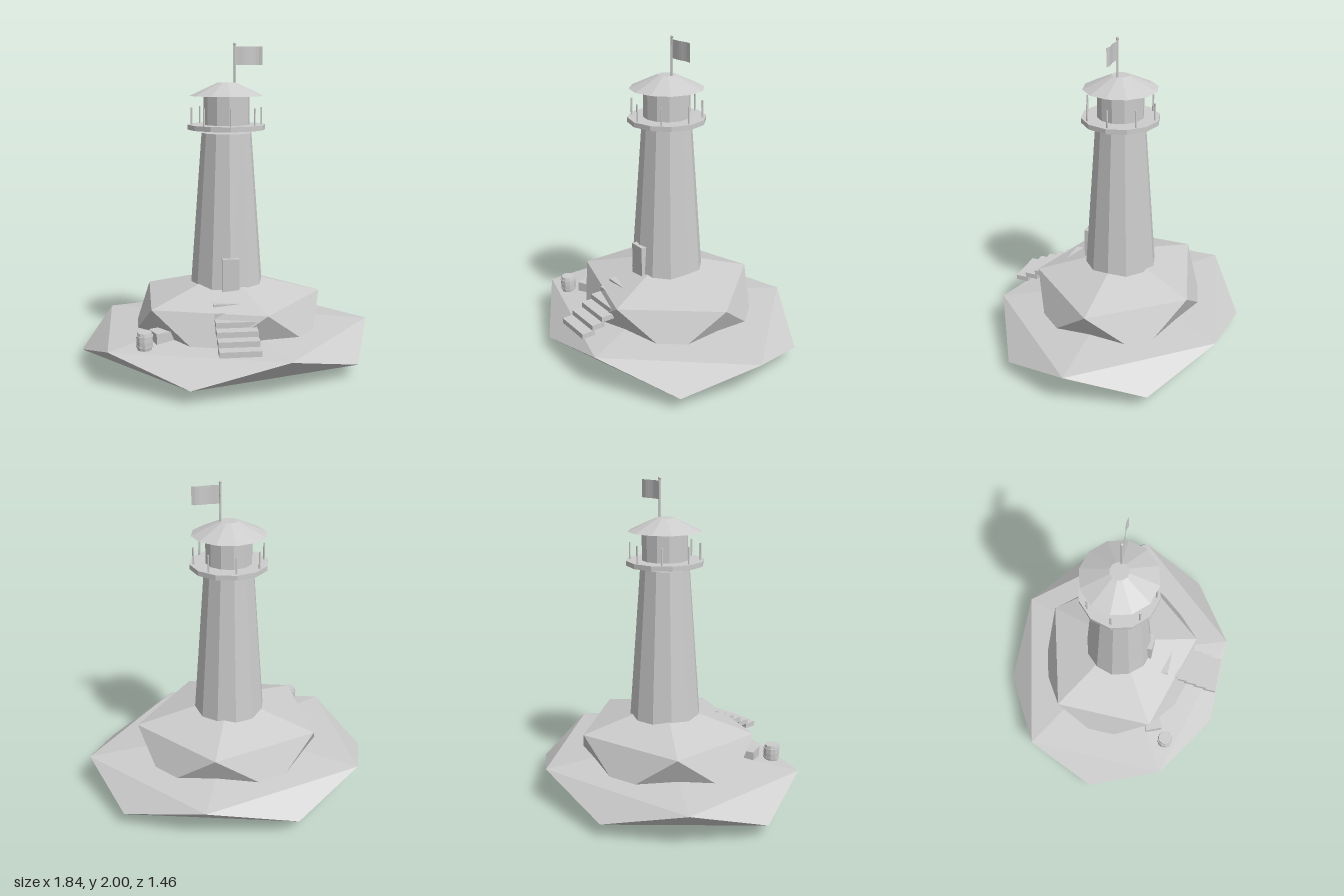
import * as THREE from 'three';

export function createModel() {
  const model = new THREE.Group();
  const stone = new THREE.MeshStandardMaterial({ color: 0xcccccc, flatShading: true });
  stone.name = 'pale grey';
  const cloth = stone.clone();
  cloth.name = 'pale grey cloth';
  cloth.side = THREE.DoubleSide;

  function add(name, geometry, x = 0, y = 0, z = 0, parent = model, material = stone) {
    const mesh = new THREE.Mesh(geometry, material);
    mesh.name = name;
    mesh.position.set(x, y, z);
    parent.add(mesh);
    return mesh;
  }
  function group(name) {
    const g = new THREE.Group();
    g.name = name;
    model.add(g);
    return g;
  }
  // Upright cylinder or cone from y0 to y1
  function column(name, rBottom, rTop, y0, y1, sides = 12, x = 0, z = 0, parent = model) {
    return add(name, new THREE.CylinderGeometry(rTop, rBottom, y1 - y0, sides), x, (y0 + y1) / 2, z, parent);
  }
  // Twenty-sided boulder standing on a corner, stretched per axis
  function boulder(name, sx, sy, sz, y) {
    const g = new THREE.IcosahedronGeometry(1, 0);
    g.rotateZ(-Math.atan(2 / (1 + Math.sqrt(5))));
    g.scale(sx, sy, sz);
    return add(name, g, 0, y, 0);
  }

  // Island
  boulder('islandBase', 1.029, 0.158, 0.861, 0.158);
  boulder('upperRock', 0.671, 0.284, 0.6, 0.303);

  // Tower
  column('tower', 0.23, 0.155, 0.45, 1.455);
  add('door', new THREE.BoxGeometry(0.104, 0.215, 0.04), 0, 0.5975, 0.213);
  column('gallery', 0.24, 0.24, 1.475, 1.505);
  column('lanternRoom', 0.143, 0.143, 1.505, 1.68);
  add('lamp', new THREE.SphereGeometry(0.07, 10, 8), 0.045, 1.53, 0);
  column('roof', 0.228, 0.055, 1.68, 1.76);

  // Railing posts around the gallery
  const railing = group('railing');
  for (let i = 0; i < 8; i++) {
    const a = (i * Math.PI) / 4;
    column('railingPost', 0.006, 0.006, 1.5, 1.61, 6, 0.216 * Math.cos(a), 0.216 * Math.sin(a), railing);
  }

  // Flagpole and waving flag
  column('flagpole', 0.007, 0.007, 1.74, 1.99, 8, 0.05);
  add('flagpoleBall', new THREE.SphereGeometry(0.01, 8, 6), 0.05, 1.99, 0);
  const flag = new THREE.PlaneGeometry(0.165, 0.11, 8, 1);
  const p = flag.attributes.position;
  for (let i = 0; i < p.count; i++) {
    const t = (p.getX(i) + 0.0825) / 0.165;
    p.setZ(i, 0.009 * Math.sin(t * Math.PI * 2) * t);
  }
  flag.computeVertexNormals();
  add('flag', flag, 0.1375, 1.92, 0, model, cloth);

  // Stairs climbing into the rock
  const stairs = group('stairs');
  for (let i = 0; i < 6; i++) {
    add('step', new THREE.BoxGeometry(0.24, 0.033, 0.085), 0, 0.282 + 0.0335 * i, 0.673 - 0.07 * i, stairs);
  }

  // Barrel with hoops
  const barrel = group('barrel');
  barrel.position.set(-0.53, 0.235, 0.44);
  const profile = [[0, 0], [0.043, 0], [0.049, 0.03], [0.05, 0.053], [0.049, 0.075], [0.043, 0.105], [0, 0.105]];
  add('barrelBody', new THREE.LatheGeometry(profile.map(([x, y]) => new THREE.Vector2(x, y)), 10), 0, 0, 0, barrel);
  for (const y of [0.024, 0.081]) {
    column('barrelHoop', 0.052, 0.052, y - 0.005, y + 0.005, 10, 0, 0, barrel);
  }

  // Crate leaning by the rock
  add('crate', new THREE.BoxGeometry(0.11, 0.07, 0.11), -0.43, 0.275, 0.332).rotation.y = 0.41;

  return model;
}
